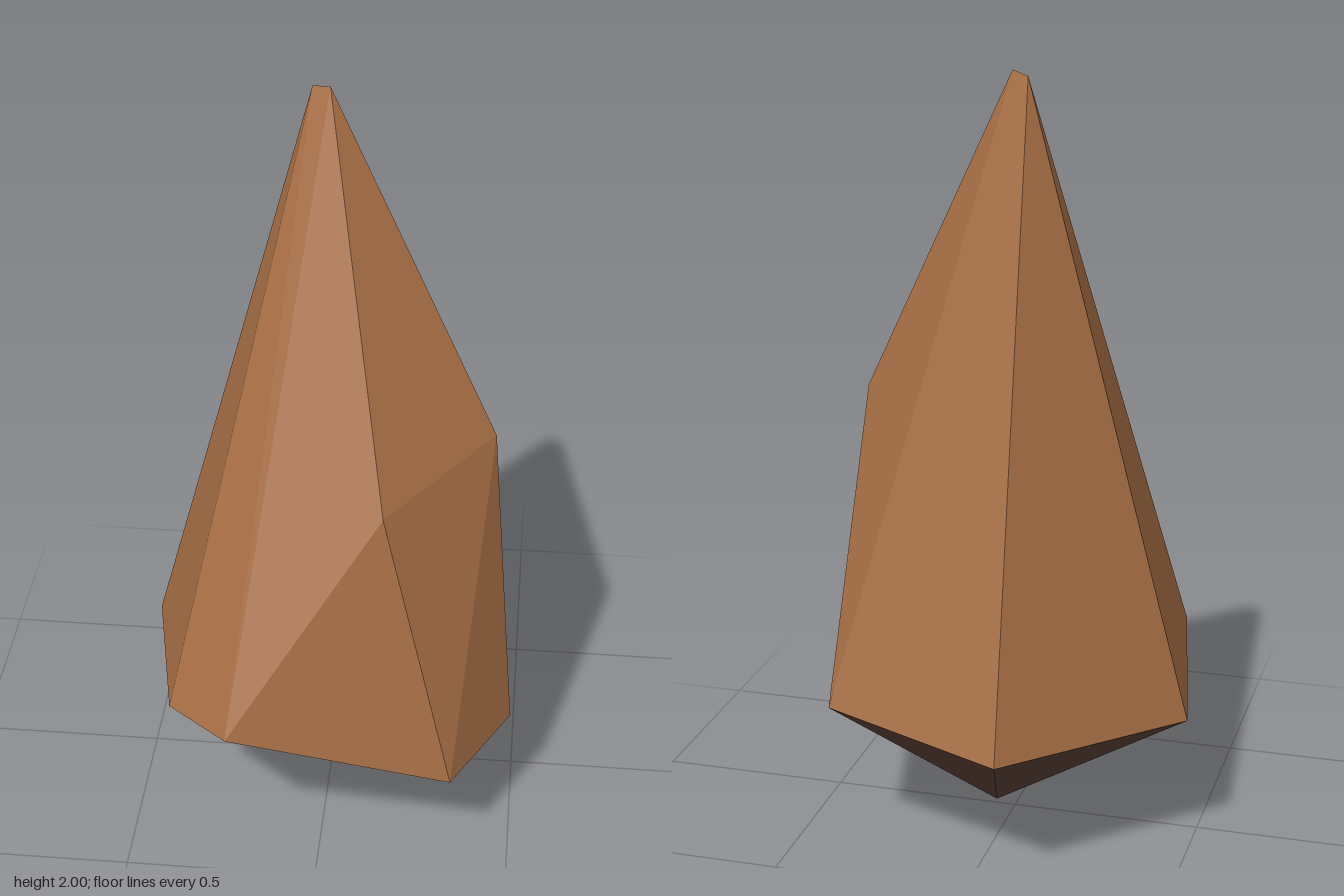
import * as THREE from 'three';

// Corner points of the faceted rock
const ring = [
  [-0.09, 0.365, -0.525], [0.39, 0.405, -0.375], [0.49, 0.32, 0.18], [0.345, 0.305, 0.443],
  [-0.225, 0.465, 0.522], [-0.39, 0.44, 0.37], [-0.493, 0.37, -0.135],
];
const [backLeft, backRight, right, frontRight, front, frontLeft, left] = ring;
const shoulderFront = [0.157, 1.065, 0.365];
const shoulderRight = [0.418, 1.135, 0.07];
const tipA = [-0.058, 1.99, -0.093];
const tipB = [-0.013, 2, -0.07];
const foot = [0.057, 0, 0.02];

// Builds a faceted mesh from triangles of corner points
function facets(name, triangles, material) {
  const geometry = new THREE.BufferGeometry();
  geometry.setAttribute('position', new THREE.Float32BufferAttribute(triangles.flat(2), 3));
  geometry.computeVertexNormals();
  const mesh = new THREE.Mesh(geometry, material);
  mesh.name = name;
  return mesh;
}

export function createModel() {
  const brown = new THREE.MeshStandardMaterial({ color: 0xa86f45 });
  brown.name = 'warm brown';
  const dark = new THREE.MeshStandardMaterial({ color: 0x5d4239 });
  dark.name = 'dark brown';

  // Tall spire with a broken shoulder on its front right
  const spire = facets('spire', [
    [backRight, backLeft, tipA], [backRight, tipA, tipB],
    [shoulderRight, backRight, tipB], [right, backRight, shoulderRight],
    [frontRight, right, shoulderRight], [frontRight, shoulderRight, shoulderFront],
    [shoulderFront, shoulderRight, tipB], [front, frontRight, shoulderFront],
    [front, shoulderFront, tipB], [front, tipB, tipA],
    [frontLeft, front, tipA], [left, frontLeft, tipA], [backLeft, left, tipA],
  ], brown);

  // Pointed underside fanning from the foot to the rim
  const underside = facets('underside',
    ring.map((p, i) => [p, ring[(i + 1) % ring.length], foot]), dark);

  const group = new THREE.Group();
  group.name = 'rockSpire';
  group.add(spire, underside);
  return group;
}
